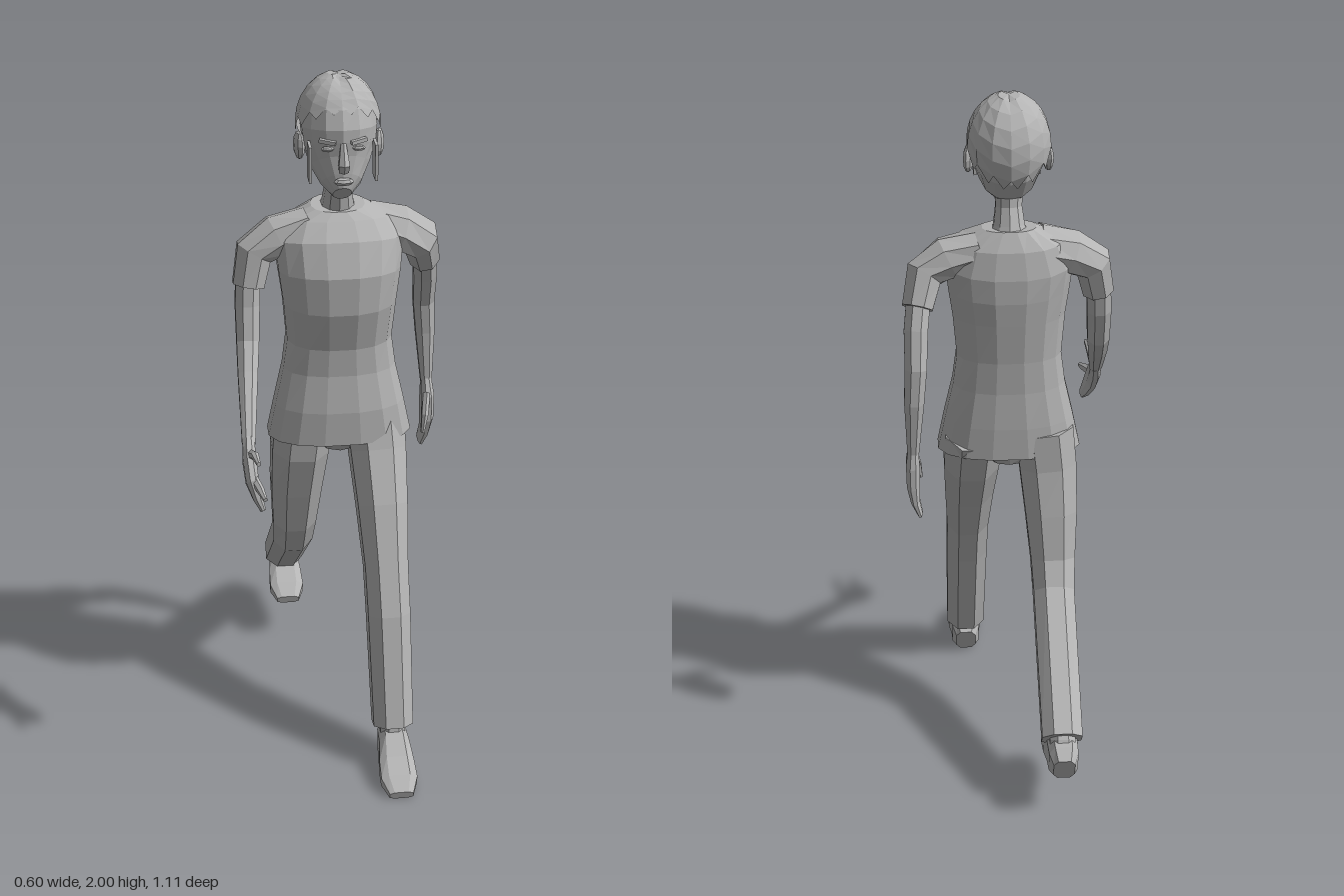
import * as THREE from 'three';

const grey = new THREE.MeshStandardMaterial({ color: 0xb4b4b4, flatShading: true, side: THREE.DoubleSide });
grey.name = 'plain grey';

// Closed skin through rings [x, y, z, radiusA, radiusB] set square to their path.
// "square" below 1 makes the rings boxier.
function loft(name, rings, sides = 8, square = 1) {
  const centres = rings.map(r => new THREE.Vector3(r[0], r[1], r[2]));
  const last = rings.length - 1, pos = [], index = [];
  const soft = v => Math.sign(v) * Math.abs(v) ** square;
  rings.forEach((r, i) => {
    const t = centres[Math.min(i + 1, last)].clone().sub(centres[Math.max(i - 1, 0)]).normalize();
    const u = new THREE.Vector3(1, 0, 0).addScaledVector(t, -t.x).normalize();
    const v = t.clone().cross(u);
    for (let j = 0; j < sides; j++) {
      const a = (j + 0.5) / sides * Math.PI * 2;
      const p = centres[i].clone().addScaledVector(u, r[3] * soft(Math.cos(a))).addScaledVector(v, r[4] * soft(Math.sin(a)));
      pos.push(p.x, p.y, p.z);
    }
  });
  const start = pos.length / 3;
  for (const c of [centres[0], centres[last]]) pos.push(c.x, c.y, c.z);
  for (let j = 0; j < sides; j++) {
    const k = (j + 1) % sides, e = last * sides;
    for (let i = 0; i < last; i++) {
      const a = i * sides + j, b = i * sides + k;
      index.push(a, b, b + sides, a, b + sides, a + sides);
    }
    index.push(start, k, j, start + 1, e + j, e + k);
  }
  const g = new THREE.BufferGeometry();
  g.setAttribute('position', new THREE.Float32BufferAttribute(pos, 3));
  g.setIndex(index);
  g.computeVertexNormals();
  return part(name, g);
}

function part(name, geometry, x = 0, y = 0, z = 0) {
  const m = new THREE.Mesh(geometry, grey);
  m.name = name;
  m.position.set(x, y, z);
  return m;
}

function makeHead() {
  const head = new THREE.Group();
  head.name = 'head';
  head.add(loft('neck', [[0, 1.57, -0.02, 0.075, 0.07], [0, 1.63, -0.01, 0.045, 0.052], [0, 1.68, 0.005, 0.038, 0.045], [0, 1.77, 0.015, 0.042, 0.05]], 10));
  head.add(loft('face', [
    [0, 1.695, 0.1, 0.026, 0.04], [0, 1.72, 0.078, 0.055, 0.066], [0, 1.76, 0.045, 0.08, 0.094],
    [0, 1.81, 0.02, 0.098, 0.114], [0, 1.86, 0.01, 0.104, 0.12], [0, 1.92, 0, 0.097, 0.108], [0, 1.96, 0, 0.07, 0.08],
  ], 14));

  // Hair cap: low at the nape, high above the forehead, with a shallow parting
  const hair = new THREE.SphereGeometry(1, 14, 7);
  const p = hair.attributes.position, uv = hair.attributes.uv;
  for (let i = 0; i < p.count; i++) {
    const around = uv.getX(i) * Math.PI * 2, front = Math.cos(around);
    const theta = (1 - uv.getY(i)) * Math.acos(-0.14 + 0.57 * front);
    const s = Math.sin(theta), x = 0.116 * s * Math.sin(around);
    const dip = Math.abs(x) < 0.01 ? 0.006 : 0;
    p.setXYZ(i, x, 1.86 + 0.142 * Math.cos(theta) - dip, 0.125 * s * front);
  }
  hair.computeVertexNormals();
  head.add(part('hair', hair));

  // Nose, lips and the features mirrored on both sides
  head.add(loft('nose', [[0, 1.845, 0.122, 0.008, 0.008], [0, 1.79, 0.142, 0.017, 0.02], [0, 1.772, 0.132, 0.015, 0.014]], 6));
  const lips = new THREE.SphereGeometry(1, 8, 4);
  lips.scale(0.028, 0.011, 0.014);
  head.add(part('lips', lips, 0, 1.742, 0.135));
  for (const s of [1, -1]) {
    const ear = new THREE.SphereGeometry(1, 8, 6);
    ear.scale(0.014, 0.04, 0.026);
    const e = part('ear', ear, s * 0.108, 1.81, 0.025);
    e.rotation.y = -s * 0.3;
    head.add(e);
    const brow = part('brow', new THREE.BoxGeometry(0.045, 0.01, 0.012), s * 0.042, 1.85, 0.121);
    brow.rotation.set(0, s * 0.35, s * 0.12);
    head.add(brow);
    const eye = new THREE.SphereGeometry(1, 8, 4);
    eye.scale(0.018, 0.008, 0.008);
    head.add(part('eye', eye, s * 0.042, 1.83, 0.12));
    head.add(part('sidePlate', new THREE.BoxGeometry(0.008, 0.1, 0.055), s * 0.088, 1.79, 0.105));
  }
  return head;
}

export function createModel() {
  const model = new THREE.Group();
  model.name = 'walkingPerson';
  model.add(makeHead());

  // Shirt
  model.add(loft('shirt', [
    [0, 0.94, 0.015, 0.208, 0.115], [0, 1.04, 0.015, 0.187, 0.115], [0, 1.15, 0.01, 0.162, 0.105],
    [0, 1.24, 0.01, 0.15, 0.108], [0, 1.36, 0.02, 0.16, 0.13], [0, 1.45, 0.018, 0.172, 0.135],
    [0, 1.53, 0, 0.18, 0.118], [0, 1.59, -0.015, 0.15, 0.085], [0, 1.625, -0.012, 0.075, 0.06],
  ], 16, 0.85));
  model.add(loft('leftSleeve', [
    [0.08, 1.57, -0.015, 0.05, 0.075], [0.17, 1.54, -0.02, 0.062, 0.078], [0.235, 1.5, -0.038, 0.056, 0.07], [0.256, 1.42, -0.085, 0.046, 0.054],
  ]));
  model.add(loft('rightSleeve', [
    [-0.08, 1.57, -0.01, 0.05, 0.075], [-0.17, 1.54, 0, 0.062, 0.07], [-0.235, 1.5, 0.012, 0.056, 0.06], [-0.253, 1.41, 0.03, 0.047, 0.052],
  ]));

  // Left arm swings back
  model.add(loft('leftArm', [
    [0.25, 1.46, -0.06, 0.036, 0.042], [0.262, 1.36, -0.105, 0.036, 0.04], [0.265, 1.26, -0.14, 0.033, 0.035],
    [0.272, 1.16, -0.147, 0.03, 0.032], [0.278, 1.0, -0.14, 0.018, 0.023],
  ]));
  model.add(loft('leftHand', [
    [0.278, 1.01, -0.14, 0.016, 0.022], [0.28, 0.96, -0.13, 0.021, 0.045], [0.28, 0.89, -0.13, 0.02, 0.05],
    [0.275, 0.84, -0.137, 0.014, 0.043], [0.262, 0.8, -0.14, 0.008, 0.034],
  ]));
  model.add(loft('leftThumb', [[0.275, 0.97, -0.105, 0.012, 0.016], [0.265, 0.92, -0.065, 0.011, 0.014], [0.257, 0.87, -0.05, 0.006, 0.007]], 6));

  // Right arm swings forward
  model.add(loft('rightArm', [
    [-0.252, 1.46, 0.015, 0.036, 0.04], [-0.257, 1.35, 0.03, 0.037, 0.038], [-0.26, 1.25, 0.06, 0.034, 0.036],
    [-0.266, 1.18, 0.125, 0.03, 0.031], [-0.278, 1.045, 0.275, 0.02, 0.018],
  ]));
  model.add(loft('rightHand', [
    [-0.278, 1.055, 0.265, 0.017, 0.02], [-0.28, 1.015, 0.315, 0.02, 0.04], [-0.276, 0.97, 0.355, 0.019, 0.045], [-0.262, 0.925, 0.375, 0.014, 0.034], [-0.25, 0.898, 0.39, 0.008, 0.02],
  ]));
  model.add(loft('rightFinger', [[-0.272, 0.985, 0.365, 0.012, 0.016], [-0.258, 0.975, 0.41, 0.011, 0.013], [-0.248, 0.965, 0.448, 0.006, 0.007]], 6));
  model.add(loft('rightThumb', [[-0.275, 1.035, 0.32, 0.012, 0.015], [-0.268, 1.06, 0.37, 0.011, 0.012], [-0.262, 1.06, 0.42, 0.006, 0.007]], 6));

  // Trousers
  model.add(loft('trouserSeat', [[0, 1.02, 0.01, 0.16, 0.09], [0, 0.95, 0.01, 0.15, 0.085], [0, 0.895, 0.005, 0.06, 0.06]], 10));
  model.add(loft('leftTrouserLeg', [
    [0.1, 1.0, 0, 0.09, 0.1], [0.108, 0.88, 0.045, 0.086, 0.1], [0.112, 0.74, 0.125, 0.077, 0.09],
    [0.115, 0.58, 0.2, 0.067, 0.077], [0.117, 0.45, 0.25, 0.066, 0.078], [0.12, 0.125, 0.345, 0.062, 0.068],
  ], 8, 0.9));
  model.add(loft('rightTrouserLeg', [
    [-0.1, 1.0, 0, 0.09, 0.1], [-0.112, 0.88, -0.01, 0.088, 0.095], [-0.12, 0.74, -0.045, 0.08, 0.085],
    [-0.124, 0.6, -0.08, 0.069, 0.072], [-0.124, 0.51, -0.135, 0.064, 0.07], [-0.124, 0.23, -0.472, 0.062, 0.062],
  ], 8, 0.9));

  // Shoes share one shape; the trailing one is lifted
  for (const [side, x, y, z] of [['left', 0.12, 0, 0], ['right', -0.125, 0.13, -0.855]]) {
    const shoe = loft(side + 'Shoe', [
      [0, 0.048, 0.308, 0.032, 0.044], [0, 0.058, 0.335, 0.044, 0.058], [0, 0.059, 0.385, 0.046, 0.059],
      [0, 0.04, 0.44, 0.053, 0.04], [0, 0.028, 0.5, 0.055, 0.028], [0, 0.015, 0.55, 0.036, 0.014],
    ], 8, 0.6);
    shoe.position.set(x, y, z);
    model.add(shoe);
  }
  model.add(loft('leftAnkle', [[0.12, 0.18, 0.335, 0.038, 0.04], [0.12, 0.06, 0.352, 0.04, 0.044]]));
  model.add(loft('rightAnkle', [[-0.125, 0.28, -0.43, 0.038, 0.04], [-0.125, 0.23, -0.475, 0.04, 0.04], [-0.125, 0.18, -0.5, 0.04, 0.042]]));
  return model;
}
